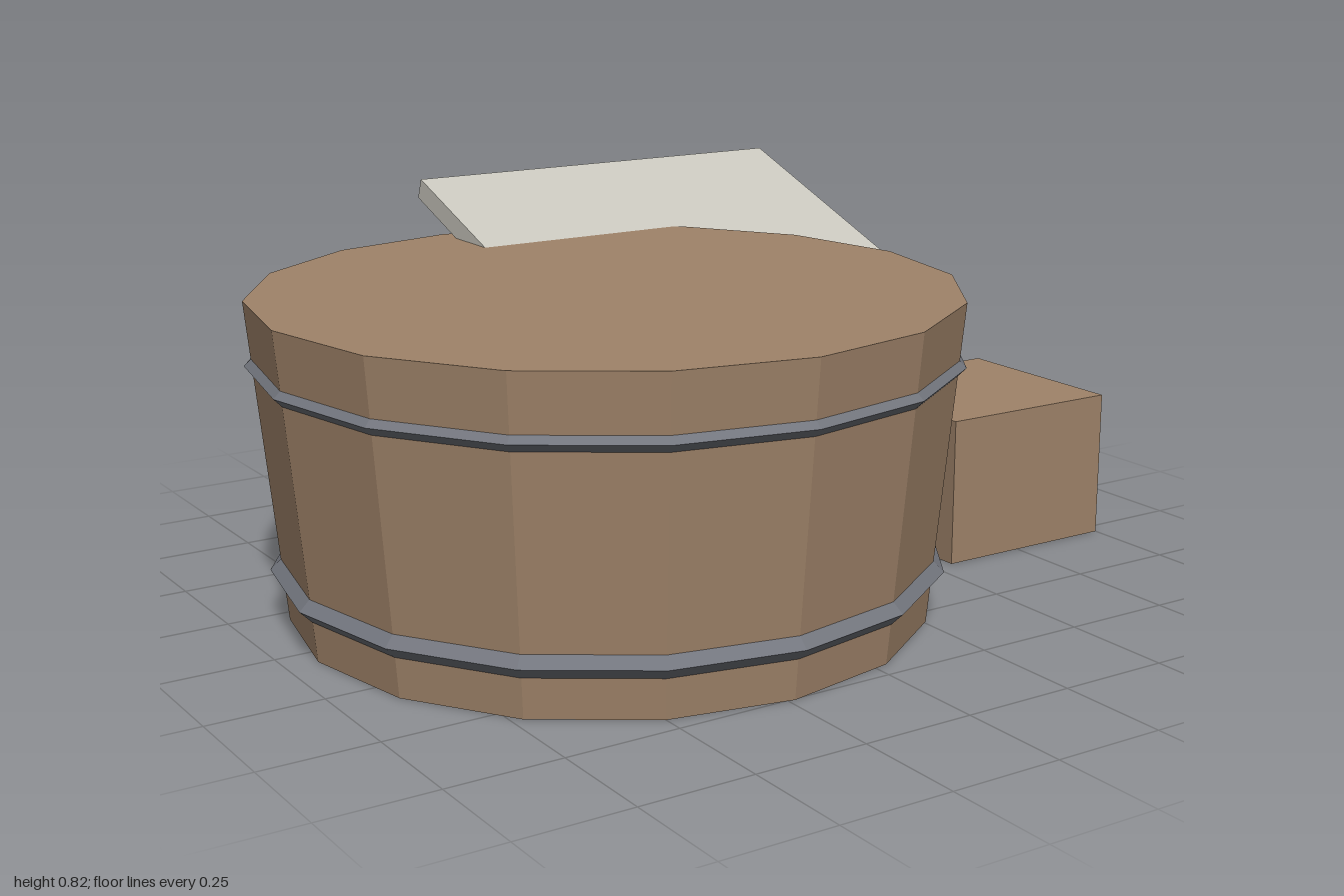
import * as THREE from 'three';

export function createModel() {
  const model = new THREE.Group();
  const mat = (name, color) => {
    const m = new THREE.MeshStandardMaterial({ color, flatShading: true });
    m.name = name;
    return m;
  };
  const wood = mat('wood', 0x9f8369);
  const iron = mat('iron', 0x73767e);
  const stone = mat('paleStone', 0xc9c7be);

  const add = (name, geometry, material, parent = model) => {
    const mesh = new THREE.Mesh(geometry, material);
    mesh.name = name;
    parent.add(mesh);
    return mesh;
  };

  // Sixteen-sided tub, wider at the rim, with two iron hoops
  const SIDES = 16;
  const tub = new THREE.Group();
  tub.name = 'tub';
  tub.position.set(-0.235, 0, 0.06);
  model.add(tub);
  add('tubBody', new THREE.CylinderGeometry(0.762, 0.695, 0.7, SIDES), wood, tub).position.y = 0.35;
  for (const [name, y, radius] of [['lowerHoop', 0.114, 0.705], ['upperHoop', 0.562, 0.739]]) {
    const hoop = add(name, new THREE.TorusGeometry(radius, 0.026, 4, SIDES), iron, tub);
    hoop.rotation.x = Math.PI / 2;
    hoop.position.y = y;
  }

  // Step block beside the tub
  add('step', new THREE.BoxGeometry(0.45, 0.34, 0.45), wood).position.set(0.775, 0.17, 0.06);

  // Tilted cover leaning over the back rim
  const cover = add('cover', new THREE.BoxGeometry(1.005, 0.05, 0.565), stone);
  cover.position.set(0.268, 0.698, -0.557);
  cover.rotation.x = THREE.MathUtils.degToRad(20);

  return model;
}
